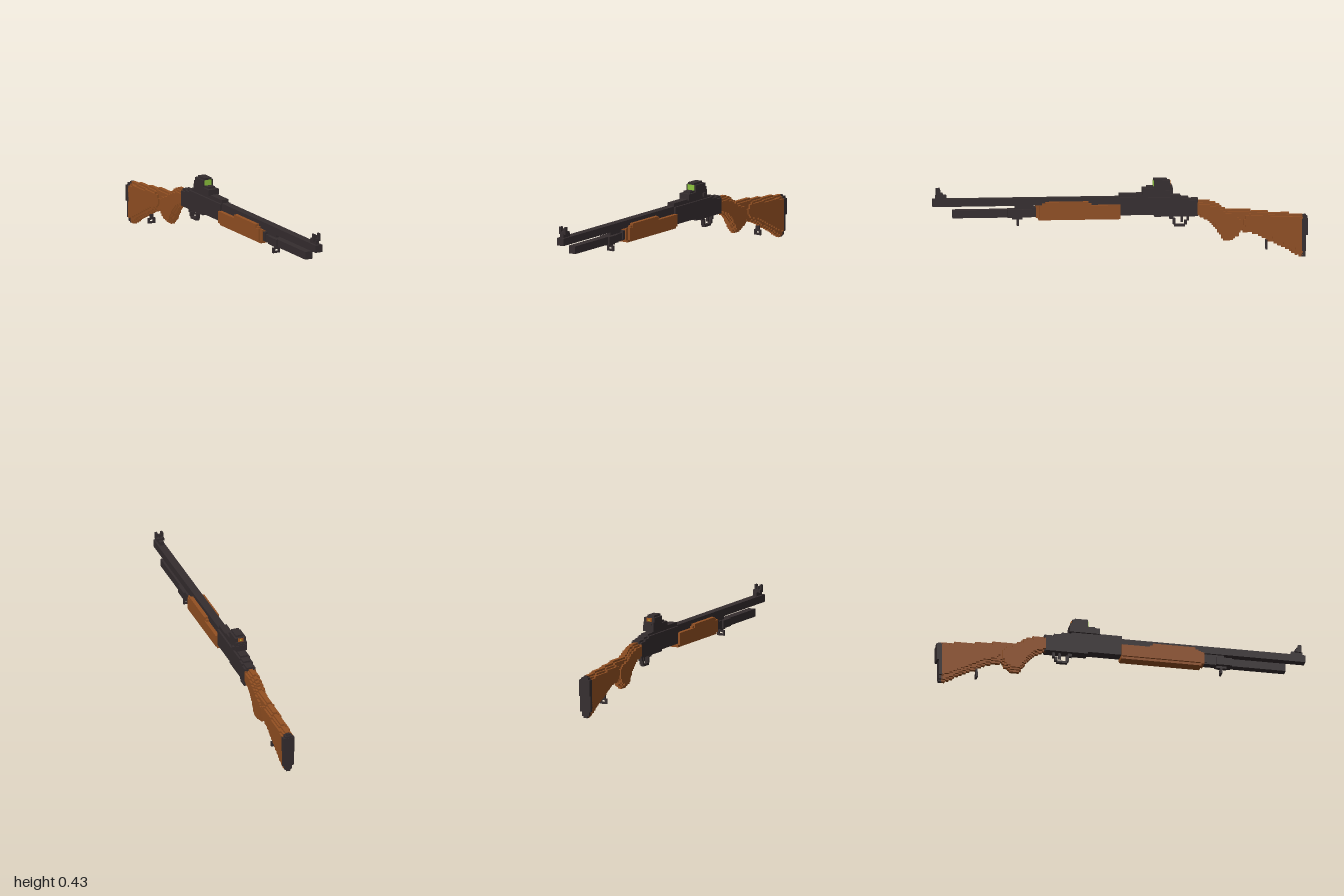
import * as THREE from 'three';

const V = 1 / 96; // edge of one voxel step
const mat = (name, color) => {
  const m = new THREE.MeshStandardMaterial({ color });
  m.name = name;
  return m;
};

// Height of a polyline [[z, y], ...] (z ascending) at z
function heightAt(line, z) {
  for (let i = 1; i < line.length; i++) {
    const [z0, y0] = line[i - 1], [z1, y1] = line[i];
    if (z <= z1 || i === line.length - 1) {
      const t = Math.min(1, Math.max(0, (z - z0) / (z1 - z0)));
      return y0 + (y1 - y0) * t;
    }
  }
}

export function createModel() {
  const gun = new THREE.Group();
  gun.name = 'shotgun';
  const steel = mat('dark steel', 0x352d2f);
  const wood = mat('brown wood', 0x935022);
  const lens = mat('green lens', 0x8fc73e);
  const amber = mat('amber glass', 0xa85a20);
  const dotMat = mat('yellow dot', 0xc8c830);

  // Box given by its limits
  function box(name, m, x0, x1, y0, y1, z0, z1) {
    const mesh = new THREE.Mesh(new THREE.BoxGeometry(x1 - x0, y1 - y0, z1 - z0), m);
    mesh.position.set((x0 + x1) / 2, (y0 + y1) / 2, (z0 + z1) / 2);
    mesh.name = name;
    gun.add(mesh);
  }
  const mid = (name, m, w, y0, y1, z0, z1) => box(name, m, -w, w, y0, y1, z0, z1);
  const pair = (name, m, xa, xb, y0, y1, z0, z1) => {
    box(name + 'Left', m, xa, xb, y0, y1, z0, z1);
    box(name + 'Right', m, -xb, -xa, y0, y1, z0, z1);
  };

  // Slab with stair-stepped top and bottom edges
  function stepped(name, m, halfWidth, top, bottom, z0, z1, inset = 0) {
    const up = [], down = [];
    const n = Math.round((z1 - z0) / V);
    for (let i = 0; i < n; i++) {
      const a = z0 + ((z1 - z0) * i) / n, b = z0 + ((z1 - z0) * (i + 1)) / n;
      const snap = (line) => Math.round(heightAt(line, (a + b) / 2) / V) * V;
      const lo = snap(bottom) + inset;
      const hi = Math.max(snap(top) - inset, lo + V);
      up.push([a, hi], [b, hi]);
      down.push([a, lo], [b, lo]);
    }
    const pts = [...down, ...up.reverse()].map(([z, y]) => new THREE.Vector2(z, y));
    const geo = new THREE.ExtrudeGeometry(new THREE.Shape(pts), { depth: 2 * halfWidth, bevelEnabled: false });
    geo.translate(0, 0, -halfWidth).rotateY(-Math.PI / 2);
    const mesh = new THREE.Mesh(geo, m);
    mesh.name = name;
    gun.add(mesh);
  }

  // Barrel, magazine tube and clamp
  mid('barrel', steel, 0.021, 0.297, 0.337, 0, 1);
  mid('magazineTube', steel, 0.021, 0.235, 0.277, 0.44, 0.893);
  mid('clamp', steel, 0.031, 0.235, 0.277, 0.515, 0.6);
  mid('clampBridge', steel, 0.0104, 0.27, 0.3, 0.46, 0.56);
  mid('clampFoot', steel, 0.0104, 0.222, 0.236, 0.52, 0.575);
  mid('tubeCollar', steel, 0.026, 0.24, 0.287, 0.44, 0.47);

  // Front sight
  mid('frontSightBase', steel, 0.0104, 0.335, 0.358, 0.925, 0.985);
  mid('frontSightBody', steel, 0.0208, 0.354, 0.369, 0.945, 0.98);
  mid('frontSightPost', steel, 0.0052, 0.365, 0.385, 0.955, 0.97);
  pair('frontSightEar', steel, 0.0104, 0.0208, 0.365, 0.394, 0.96, 0.98);

  // Fore-end with raised side rails
  mid('foreEndKeel', wood, 0.031, 0.219, 0.235, 0, 0.435);
  mid('foreEndCore', wood, 0.031, 0.232, 0.297, 0, 0.45);
  pair('foreEndSide', wood, 0.021, 0.0417, 0.232, 0.297, 0, 0.43);
  pair('foreEndRail', wood, 0.021, 0.0417, 0.295, 0.317, 0.17, 0.4);
  pair('foreEndRailTip', wood, 0.021, 0.036, 0.295, 0.307, 0.155, 0.418);

  // Receiver with stepped rear slope
  const recTop = [[-0.42, 0.318], [-0.36, 0.328], [-0.25, 0.354], [0.005, 0.354]];
  const recLow = [[-0.42, 0.23], [-0.21, 0.23], [-0.15, 0.24], [0.005, 0.24]];
  stepped('receiverCore', steel, 0.0208, recTop, recLow, -0.415, 0.005);
  stepped('receiverSides', steel, 0.0312,
    [[-0.42, 0.305], [-0.3, 0.335], [0.005, 0.335]], recLow, -0.41, 0.005);

  // Trigger guard and trigger
  const g = 0.0104;
  mid('guardMount', steel, g, 0.213, 0.235, -0.285, -0.263);
  mid('guardFront', steel, g, 0.184, 0.216, -0.295, -0.281);
  mid('guardBottom', steel, g, 0.172, 0.184, -0.345, -0.288);
  mid('guardBack', steel, g, 0.182, 0.206, -0.357, -0.343);
  mid('guardBackUpper', steel, g, 0.203, 0.235, -0.368, -0.355);
  mid('trigger', steel, 0.0052, 0.196, 0.235, -0.335, -0.322);

  // Reflex optic with lens in front and behind
  mid('opticBase', steel, 0.0312, 0.35, 0.382, -0.28, -0.117);
  mid('opticRiser', steel, 0.0208, 0.38, 0.392, -0.278, -0.14);
  mid('opticBody', steel, 0.0312, 0.38, 0.421, -0.265, -0.18);
  mid('opticRear', steel, 0.0312, 0.38, 0.4, -0.275, -0.262);
  mid('opticRoof', steel, 0.0208, 0.42, 0.432, -0.25, -0.178);
  mid('frontLens', lens, 0.0208, 0.391, 0.421, -0.181, -0.176);
  mid('rearLens', amber, 0.0156, 0.398, 0.42, -0.268, -0.262);
  mid('aimDot', dotMat, 0.004, 0.405, 0.413, -0.27, -0.266);
  box('opticKnob', steel, 0.03, 0.0417, 0.349, 0.37, -0.26, -0.24);

  // Stock: thin full outline, then two thicker rounded layers
  const top = [[-0.975, 0.228], [-0.77, 0.246], [-0.636, 0.262], [-0.567, 0.262],
    [-0.53, 0.285], [-0.476, 0.31], [-0.4, 0.318]];
  const low = [[-0.975, 0.003], [-0.955, 0.005], [-0.9, 0.034], [-0.85, 0.064], [-0.786, 0.09],
    [-0.743, 0.118], [-0.69, 0.133], [-0.642, 0.144], [-0.626, 0.117], [-0.6, 0.096],
    [-0.567, 0.09], [-0.545, 0.102], [-0.513, 0.155], [-0.48, 0.193], [-0.438, 0.22], [-0.4, 0.235]];
  stepped('stockCore', wood, 0.0104, top, low, -0.973, -0.405);
  stepped('stockMiddle', wood, 0.0208, top, low, -0.973, -0.405, V);
  stepped('gripPanel', wood, 0.0312,
    [[-0.645, 0.2], [-0.62, 0.228], [-0.567, 0.24], [-0.53, 0.265], [-0.476, 0.288], [-0.4, 0.3]],
    [[-0.645, 0.165], [-0.626, 0.138], [-0.6, 0.117], [-0.567, 0.111], [-0.545, 0.125],
      [-0.513, 0.178], [-0.48, 0.215], [-0.4, 0.245]], -0.642, -0.405);
  stepped('buttPanel', wood, 0.0312,
    [[-0.973, 0.21], [-0.77, 0.226], [-0.69, 0.235], [-0.665, 0.222], [-0.65, 0.19]],
    [[-0.973, 0.032], [-0.9, 0.062], [-0.786, 0.12], [-0.743, 0.142], [-0.69, 0.155], [-0.65, 0.18]],
    -0.973, -0.655);

  // Butt pad
  mid('buttPadUpper', steel, 0.0312, 0.12, 0.208, -1, -0.968);
  mid('buttPadUpperEdge', steel, 0.0208, 0.12, 0.219, -0.998, -0.968);
  mid('buttPadTop', steel, 0.0104, 0.2, 0.227, -0.99, -0.968);
  mid('buttPadLower', steel, 0.0312, 0.033, 0.125, -0.988, -0.966);
  mid('buttPadLowerEdge', steel, 0.0208, 0.011, 0.035, -0.988, -0.966);
  mid('buttPadToe', steel, 0.0104, 0, 0.012, -0.988, -0.966);

  // Sling loops under the clamp and the stock
  for (const [name, y, z] of [['frontSling', 0.19, 0.545], ['rearSling', 0.043, -0.78]]) {
    const a = z - 0.0052, b = z + 0.0052;
    mid(name + 'Bottom', steel, 0.0208, y, y + 0.0104, a, b);
    pair(name + 'Side', steel, 0.0104, 0.0208, y + 0.0104, y + 0.0208, a, b);
    mid(name + 'Top', steel, 0.0208, y + 0.0208, y + 0.029, a, b);
    mid(name + 'Stud', steel, 0.0104, y + 0.02, y + 0.05, a, b);
  }
  return gun;
}
